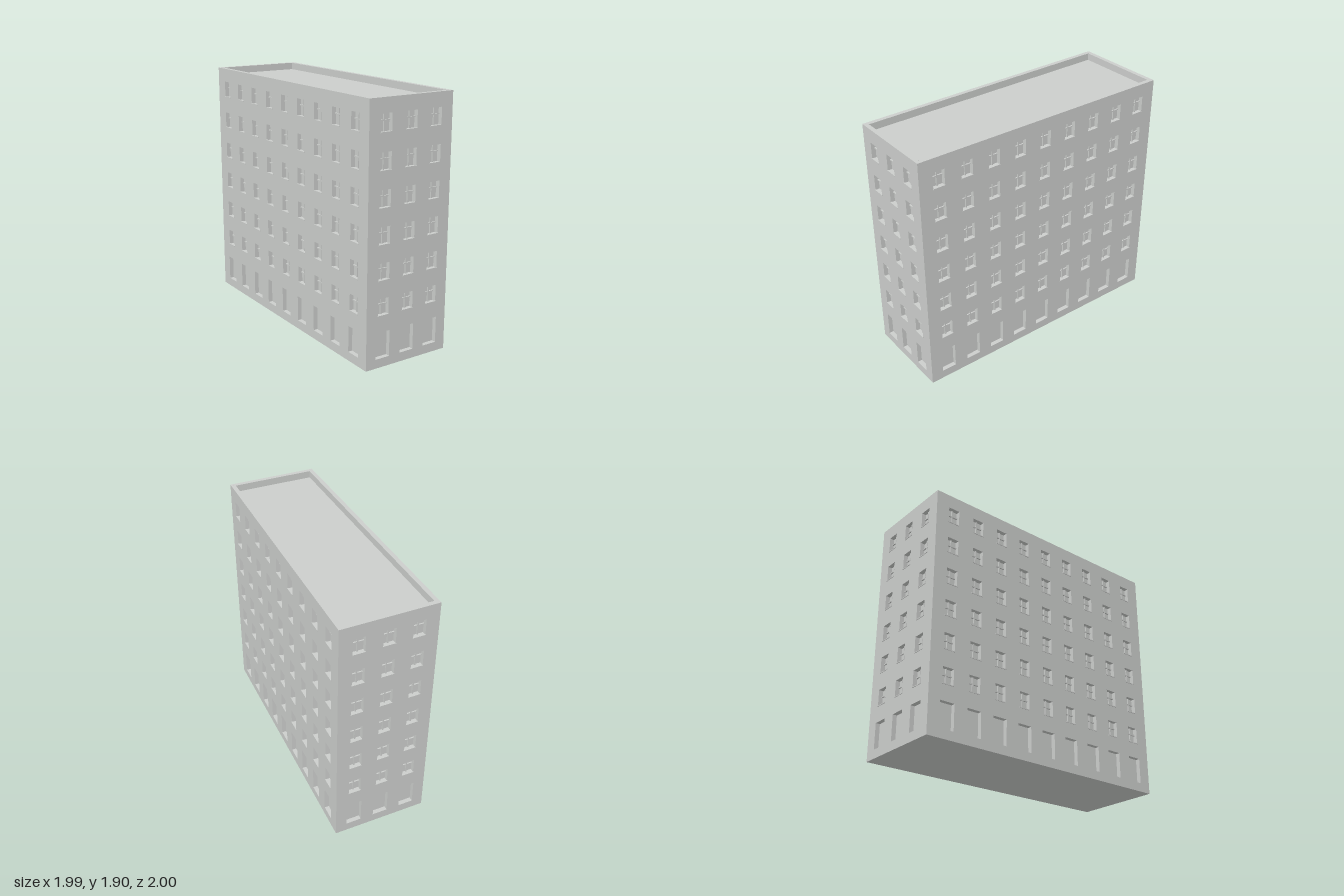
import * as THREE from 'three';
import { mergeGeometries } from 'three/addons/utils/BufferGeometryUtils.js';

const HEIGHT = 1.9, ROOF = 1.845, WALL = 0.034;
const WIN = { w: 0.092, h: 0.125, y: 0.388, step: 0.2563, floors: 6 };
const DOOR = { w: 0.118, h: 0.197, y: 0.068 };

// Slightly tapering plan, corners as [x, z]; each facade runs from one corner to the next
const PLAN = [[-0.998, -0.478], [0.497, 1.0], [0.994, 0.503], [-0.487, -1.0]]
  .map(([x, z]) => new THREE.Vector2(x, z));
const FACADES = [
  { name: 'frontFacade', columns: 9, first: 0.073 },
  { name: 'rightFacade', columns: 3, first: 0.2 },
  { name: 'backFacade', columns: 9, first: 0.073 },
  { name: 'leftFacade', columns: 3, first: 0.2 },
];

function rectHole(cx, y, w, h) {
  return new THREE.Path([
    new THREE.Vector2(cx - w / 2, y), new THREE.Vector2(cx - w / 2, y + h),
    new THREE.Vector2(cx + w / 2, y + h), new THREE.Vector2(cx + w / 2, y),
  ]);
}

function bar(w, h, d, x, y, z) {
  return new THREE.BoxGeometry(w, h, d).translate(x, y, z);
}

function createFacade({ name, columns, first }, a, b, material) {
  const group = new THREE.Group();
  group.name = name;
  const length = a.distanceTo(b);

  const outline = new THREE.Shape([
    new THREE.Vector2(0, 0), new THREE.Vector2(length, 0),
    new THREE.Vector2(length, HEIGHT), new THREE.Vector2(0, HEIGHT),
  ]);
  const bars = [];
  for (let c = 0; c < columns; c++) {
    const x = length * (first + (1 - 2 * first) * c / (columns - 1));
    outline.holes.push(rectHole(x, DOOR.y, DOOR.w, DOOR.h));
    for (let f = 0; f < WIN.floors; f++) {
      const y = WIN.y + f * WIN.step;
      outline.holes.push(rectHole(x, y, WIN.w, WIN.h));
      // Mullion, transom and slim sill
      bars.push(bar(0.009, WIN.h, 0.01, x, y + WIN.h / 2, -WALL + 0.005));
      bars.push(bar(WIN.w, 0.008, 0.01, x, y + WIN.h * 0.6, -WALL + 0.005));
      bars.push(bar(WIN.w + 0.006, 0.006, 0.012, x, y, -0.002));
    }
  }

  // Wall with openings, mitred at both ends
  const wall = new THREE.ExtrudeGeometry(outline, { depth: WALL, bevelEnabled: false });
  wall.translate(0, 0, -WALL);
  const p = wall.attributes.position;
  for (let i = 0; i < p.count; i++) {
    if (p.getZ(i) > -WALL / 2) continue;
    if (p.getX(i) < 1e-4) p.setX(i, WALL);
    else if (p.getX(i) > length - 1e-4) p.setX(i, length - WALL);
  }
  wall.computeVertexNormals();

  const wallMesh = new THREE.Mesh(wall, material);
  wallMesh.name = 'wall';
  const barMesh = new THREE.Mesh(mergeGeometries(bars), material);
  barMesh.name = 'windowBars';
  group.add(wallMesh, barMesh);
  group.position.set(a.x, 0, a.y);
  group.rotation.y = Math.atan2(a.y - b.y, b.x - a.x);
  return group;
}

export function createModel() {
  const concrete = new THREE.MeshStandardMaterial({ color: 0xcccecc });
  concrete.name = 'paleConcrete';

  const model = new THREE.Group();
  model.name = 'apartmentBlock';

  // Inner core: gives the roof, the recessed panes and doors, and the underside
  const corners = PLAN.map((p, i) => {
    const next = PLAN[(i + 1) % 4].clone().sub(p).normalize();
    const prev = PLAN[(i + 3) % 4].clone().sub(p).normalize();
    const q = p.clone().addScaledVector(next.add(prev), WALL);
    return new THREE.Vector2(q.x, -q.y);
  });
  const coreGeometry = new THREE.ExtrudeGeometry(new THREE.Shape(corners), { depth: ROOF, bevelEnabled: false });
  coreGeometry.rotateX(-Math.PI / 2);
  const core = new THREE.Mesh(coreGeometry, concrete);
  core.name = 'roofAndCore';
  model.add(core);

  // Four facades rising past the roof as a parapet
  FACADES.forEach((f, i) => model.add(createFacade(f, PLAN[i], PLAN[(i + 1) % 4], concrete)));
  return model;
}
